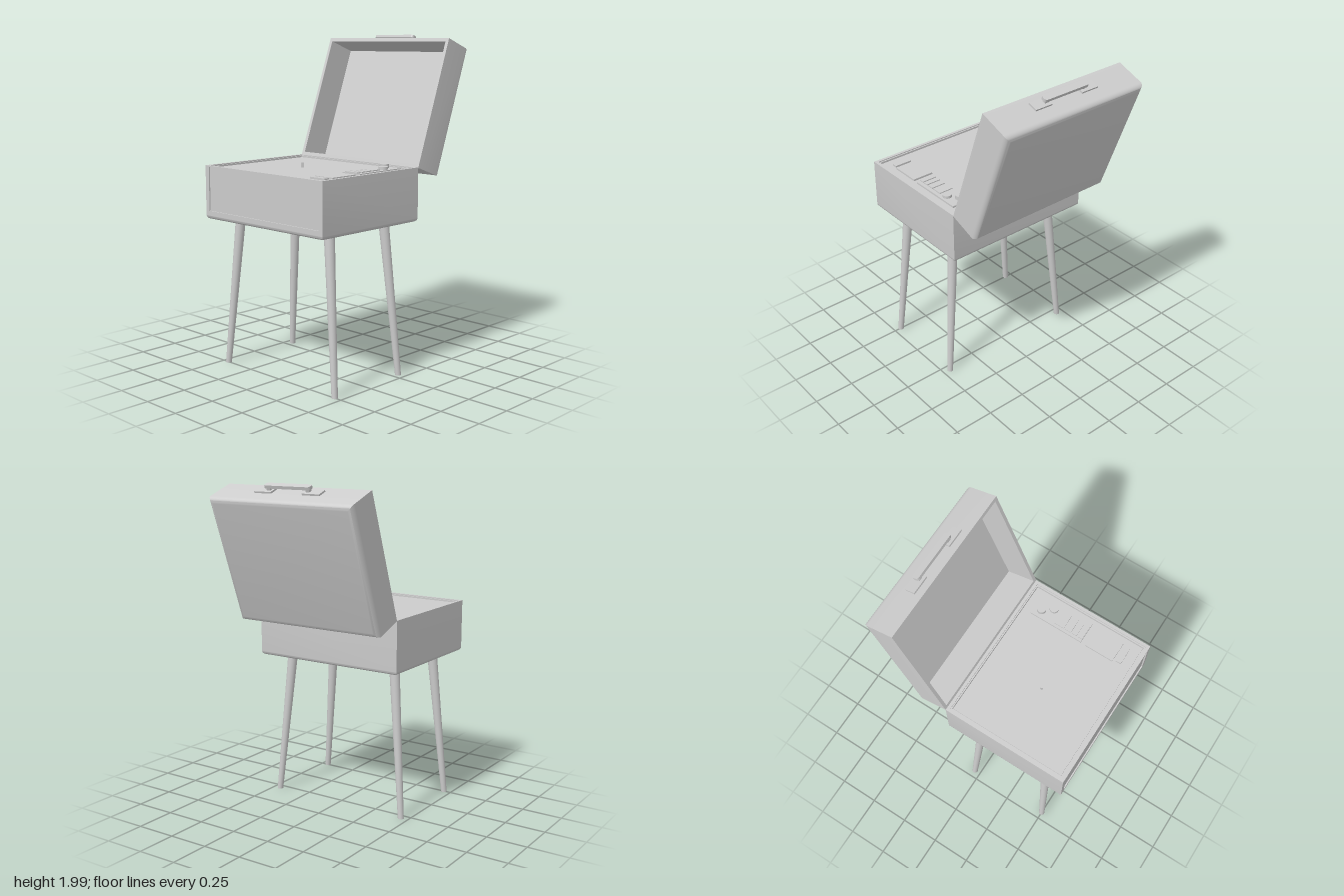
import * as THREE from 'three';
import { toCreasedNormals } from 'three/addons/utils/BufferGeometryUtils.js';

const material = new THREE.MeshStandardMaterial({ color: 0xcccccc });

function add(parent, name, geometry, x = 0, y = 0, z = 0) {
  const mesh = new THREE.Mesh(geometry, material);
  mesh.name = name;
  mesh.position.set(x, y, z);
  parent.add(mesh);
  return mesh;
}

// Rounded bottom edge as [inset, y] steps.
function roundedEdge(y, r, steps = 6) {
  return Array.from({ length: steps + 1 }, (_, i) => {
    const a = (i / steps) * Math.PI / 2;
    return [r * (1 - Math.sin(a)), y + r * (1 - Math.cos(a))];
  });
}

// Open rectangular case: rings of [inset, y] joined by quads, capped at both ends.
function caseGeometry(width, depth, rings, openFront = -1) {
  const pos = [];
  const quad = (a, b, c, d) => pos.push(...a, ...b, ...c, ...a, ...c, ...d);
  const loops = rings.map(([inset, y]) => {
    const x = width / 2 - inset, z = depth / 2 - inset;
    return [[-x, y, -z], [x, y, -z], [x, y, z], [-x, y, z]];
  });
  quad(...loops[0]);
  for (let i = 0; i < loops.length - 1; i++) {
    for (let s = 0; s < 4; s++) {
      if (i === openFront && s === 2) continue;
      const t = (s + 1) % 4;
      quad(loops[i][s], loops[i + 1][s], loops[i + 1][t], loops[i][t]);
    }
  }
  quad(...[...loops[loops.length - 1]].reverse());
  const g = new THREE.BufferGeometry();
  g.setAttribute('position', new THREE.Float32BufferAttribute(pos, 3));
  return toCreasedNormals(g, 0.6);
}

function rectangle(Type, x0, y0, x1, y1) {
  return new Type([[x0, y0], [x1, y0], [x1, y1], [x0, y1]].map(p => new THREE.Vector2(...p)));
}

function roundedBar(w, d, h, r) {
  const s = new THREE.Shape();
  const x = w / 2, y = d / 2;
  s.moveTo(-x + r, -y);
  s.lineTo(x - r, -y).quadraticCurveTo(x, -y, x, -y + r);
  s.lineTo(x, y - r).quadraticCurveTo(x, y, x - r, y);
  s.lineTo(-x + r, y).quadraticCurveTo(-x, y, -x, y - r);
  s.lineTo(-x, -y + r).quadraticCurveTo(-x, -y, -x + r, -y);
  const g = new THREE.ExtrudeGeometry(s, { depth: h, bevelEnabled: false, curveSegments: 6 });
  return toCreasedNormals(g.rotateX(-Math.PI / 2), 0.6);
}

function buildBase() {
  const base = new THREE.Group();
  base.name = 'base';
  const edge = roundedEdge(0.91, 0.022);
  const rings = [...edge, [0, 1.23], [0.019, 1.23], [0.019, 1.224], [0.027, 1.224],
    [0.027, 1.208], [0.033, 1.208], [0.033, 1.216]];
  add(base, 'baseCase', caseGeometry(0.97, 0.79, rings, edge.length - 1), 0, 0, 0.23);

  // Front frame with a shallow recessed panel
  const frame = rectangle(THREE.Shape, -0.485, 0.932, 0.485, 1.23);
  frame.holes.push(rectangle(THREE.Path, -0.455, 0.96, 0.455, 1.222));
  add(base, 'frontFrame', new THREE.ExtrudeGeometry(frame, { depth: 0.008, bevelEnabled: false }), 0, 0, 0.617);
  add(base, 'frontPanel', new THREE.BoxGeometry(0.93, 0.28, 0.008), 0, 1.082, 0.613);

  // Hinges on the back edge
  for (const x of [-0.26, 0.26]) {
    add(base, 'hinge', new THREE.BoxGeometry(0.045, 0.036, 0.014), x, 1.209, -0.168);
  }
  return base;
}

function buildControls() {
  const controls = new THREE.Group();
  controls.name = 'controls';
  // Flat plates and buttons: name, x0, x1, z0, z1, top
  const plates = [
    ['controlPlate', 0.29, 0.423, -0.083, 0.267, 1.227],
    ['button', 0.307, 0.4, 0.073, 0.137, 1.233],
    ['button', 0.307, 0.4, 0.147, 0.187, 1.233],
    ['button', 0.307, 0.4, 0.197, 0.227, 1.233],
    ['button', 0.307, 0.4, 0.237, 0.265, 1.233],
    ['lowerPlate', 0.287, 0.42, 0.3, 0.483, 1.227],
    ['lowerButton', 0.3, 0.41, 0.5, 0.533, 1.227],
  ];
  for (const [name, x0, x1, z0, z1, top] of plates) {
    const h = top - 1.212;
    add(controls, name, new THREE.BoxGeometry(x1 - x0, h, z1 - z0), (x0 + x1) / 2, top - h / 2, (z0 + z1) / 2);
  }
  for (const [x, z, top] of [[0.338, -0.035, 1.25], [0.383, 0.025, 1.243]]) {
    add(controls, 'knob', new THREE.CylinderGeometry(0.027, 0.027, top - 1.22, 32), x, (top + 1.22) / 2, z);
  }
  add(controls, 'spindle', new THREE.CylinderGeometry(0.007, 0.007, 0.032, 16), -0.077, 1.229, 0.225);
  return controls;
}

function buildLid() {
  const lid = new THREE.Group();
  lid.name = 'lid';
  const height = 0.79, depth = 0.207;
  const rings = [...roundedEdge(-depth, 0.032), [0, 0], [0.021, 0], [0.021, -0.187]];
  const shell = caseGeometry(0.97, height, rings);
  add(lid, 'lidShell', shell.rotateX(Math.PI / 2), 0, height / 2, 0);

  // Carrying handle on the top edge
  const z = -0.077;
  for (const side of [-1, 1]) {
    add(lid, 'handlePlate', new THREE.BoxGeometry(0.114, 0.012, 0.06), side * 0.162, height + 0.004, z);
    add(lid, 'handlePost', new THREE.BoxGeometry(0.024, 0.03, 0.022), side * 0.132, height + 0.018, z);
  }
  add(lid, 'handleGrip', roundedBar(0.31, 0.04, 0.018, 0.016), 0, height + 0.025, z);

  lid.position.set(0, 1.227, -0.165);
  lid.rotation.x = -THREE.MathUtils.degToRad(20);
  return lid;
}

// Tapered, splayed leg
function addLeg(parent, side, topZ, footZ) {
  const top = new THREE.Vector3(side * 0.368, 0.93, topZ);
  const foot = new THREE.Vector3(side * 0.453, 0, footZ);
  const g = new THREE.CylinderGeometry(0.031, 0.018, 1, 24);
  // Slant the cylinder while keeping both ends level
  const p = g.attributes.position;
  for (let i = 0; i < p.count; i++) {
    const c = foot.clone().lerp(top, p.getY(i) + 0.5);
    p.setXYZ(i, p.getX(i) + c.x, c.y, p.getZ(i) + c.z);
  }
  g.computeVertexNormals();
  add(parent, 'leg', g);
}

export function createModel() {
  const model = new THREE.Group();
  model.name = 'recordPlayer';
  model.add(buildBase(), buildControls(), buildLid());
  for (const side of [-1, 1]) {
    addLeg(model, side, 0.455, 0.5);
    addLeg(model, side, 0.005, -0.04);
  }
  return model;
}
